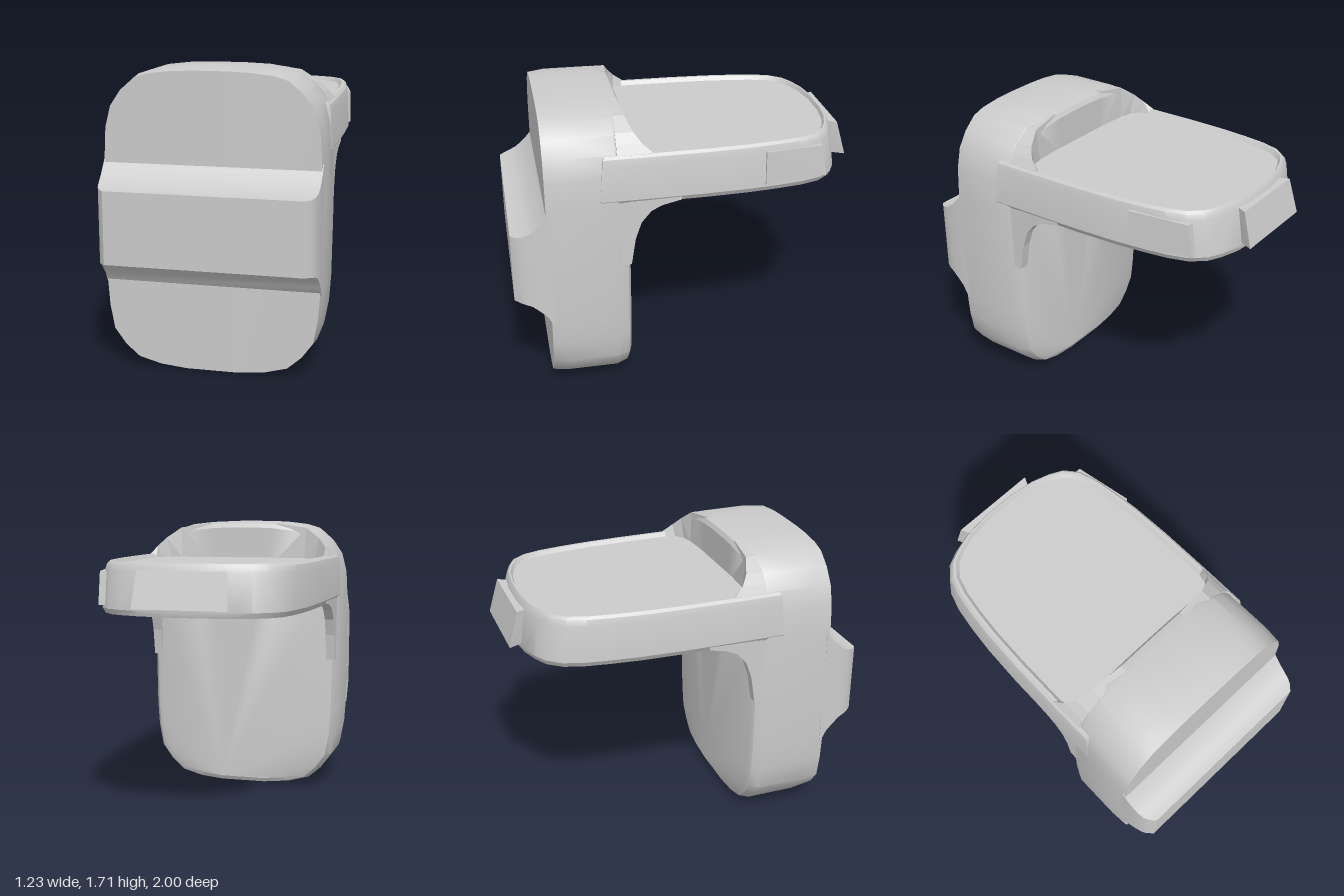
import * as THREE from 'three';
import { toCreasedNormals } from 'three/addons/utils/BufferGeometryUtils.js';
import { ConvexGeometry } from 'three/addons/geometries/ConvexGeometry.js';

const material = new THREE.MeshStandardMaterial({ color: 0xcccccc });
const V = (x, y, z) => new THREE.Vector3(x, y, z);

// Skin between counter-clockwise outlines stacked along +z, closed with fans
function loft(layers) {
  const pos = [], idx = [], n = layers[0].pts.length;
  layers.forEach(({ pts, z }) => pts.forEach(([x, y]) => pos.push(x, y, z)));
  for (let k = 0; k < layers.length - 1; k++) {
    for (let i = 0; i < n; i++) {
      const a = k * n + i, b = k * n + (i + 1) % n;
      idx.push(a, b, b + n, a, b + n, a + n);
    }
  }
  const last = (layers.length - 1) * n;
  for (let i = 1; i < n - 1; i++) idx.push(0, i + 1, i, last, last + i, last + i + 1);
  const geo = new THREE.BufferGeometry();
  geo.setAttribute('position', new THREE.Float32BufferAttribute(pos, 3));
  geo.setIndex(idx);
  return toCreasedNormals(geo, 0.5);
}

// Right half of an outline, bottom to top, completed by its mirror image
const mirrorOutline = (half) => [...half, ...half.map(([x, y]) => [-x, y]).reverse()];
const scaled = (pts, sx, sy, cy = 0) => pts.map(([x, y]) => [x * sx, cy + (y - cy) * sy]);

export function createModel() {
  const model = new THREE.Group();
  const add = (name, geo) => {
    const mesh = new THREE.Mesh(geo, material);
    mesh.name = name;
    model.add(mesh);
    return mesh;
  };

  // Upright slab with generous corners and a bevelled back edge
  const slab = mirrorOutline([
    [0.15, 0], [0.3, 0.015], [0.43, 0.05], [0.51, 0.12], [0.575, 0.21], [0.6, 0.35], [0.61, 0.5], [0.615, 0.85],
    [0.61, 1.2], [0.6, 1.38], [0.57, 1.5], [0.51, 1.59], [0.43, 1.66], [0.35, 1.685], [0.22, 1.7], [0.1, 1.705],
  ]);
  add('slab', loft([
    [0.335, 0.9, 0.955], [0.35, 0.945, 0.985], [0.41, 0.995, 1], [0.7, 1, 1], [0.8, 0.99, 0.985],
  ].map(([z, sx, sy]) => ({ z, pts: scaled(slab, sx, sy, 0.853) }))));

  // Horizontal front rib that flares into the slab
  add('frontRib', loft([
    [0.78, 0.609, 0.49, 1.21], [0.8, 0.609, 0.51, 1.18], [0.82, 0.609, 0.55, 1.155], [0.86, 0.607, 0.59, 1.115],
    [0.9, 0.604, 0.625, 1.085], [0.94, 0.595, 0.64, 1.07], [0.97, 0.58, 0.647, 1.063], [1, 0.55, 0.65, 1.06],
  ].map(([z, w, low, high]) => ({ z, pts: [[-w, low], [w, low], [w, high], [-w, high]] }))));

  // Shelf: outline drawn in plan, layered upward, with a shallow recess on top
  const plan = mirrorOutline([
    [0.608, -0.5], [0.607, -0.25], [0.602, 0.1], [0.59, 0.35], [0.572, 0.52], [0.55, 0.66],
    [0.515, 0.77], [0.45, 0.85], [0.37, 0.89], [0.26, 0.925], [0.1, 0.945],
  ]);
  const shelf = loft([
    [1.215, 0.97, 0.99], [1.245, 1, 1], [1.45, 0.985, 0.968], [1.485, 0.97, 0.955],
    [1.5, 0.945, 0.945], [1.5, 0.915, 0.935], [1.477, 0.885, 0.925],
  ].map(([z, sx, sy]) => ({ z, pts: scaled(plan, sx, sy) })));
  shelf.rotateX(-Math.PI / 2);
  add('shelf', shelf);

  // Corner fillets blending the shelf rim into the slab, and cheeks below it
  const outer = [[0.59, 1.44, 0.13], [0.575, 1.5, 0.2], [0.545, 1.55, 0.26], [0.5, 1.6, 0.3], [0.41, 1.665, 0.335], [0.22, 1.695, 0.35]];
  const inner = [[0.55, 1.47, 0.13], [0.54, 1.47, 0.2], [0.525, 1.47, 0.27], [0.47, 1.47, 0.31], [0.4, 1.47, 0.325], [0.22, 1.47, 0.335]];
  const cheek = [[0.05, 1.22], [0.16, 1.195], [0.22, 1.165], [0.275, 1.1], [0.31, 1], [0.335, 0.84]];
  for (const side of [1, -1]) {
    const label = side > 0 ? 'left' : 'right';
    for (let i = 0; i < outer.length - 1; i++) {
      const corners = [];
      for (const j of [i, i + 1]) {
        for (const [x, y, z] of [outer[j], inner[j]]) {
          corners.push(V(side * x, y, z), V(side * x, y, 0.4));
        }
      }
      add(label + 'UpperFillet', new ConvexGeometry(corners));
      const web = [];
      for (const j of [i, i + 1]) {
        const [z, y] = cheek[j];
        for (const x of [0.545, 0.6]) web.push(V(side * x, y, z), V(side * x, 1.25, z), V(side * x, y, 0.42));
      }
      add(label + 'LowerCheek', new ConvexGeometry(web));
    }
  }

  // Slanted block on the rear edge of the shelf
  const block = [];
  for (const s of [1, -1]) {
    block.push(V(s * 0.265, 1.26, -1), V(s * 0.25, 1.46, -0.945), V(s * 0.215, 1.26, -0.9), V(s * 0.215, 1.46, -0.87));
  }
  add('rearBlock', new ConvexGeometry(block));

  // Flat pad set on the left flank of the shelf
  const pad = [];
  for (const dx of [0, -0.08]) {
    pad.push(V(0.592 + dx, 1.26, -0.43), V(0.588 + dx, 1.455, -0.43), V(0.528 + dx, 1.26, -0.8), V(0.528 + dx, 1.445, -0.77));
  }
  add('sidePad', new ConvexGeometry(pad));

  return model;
}
